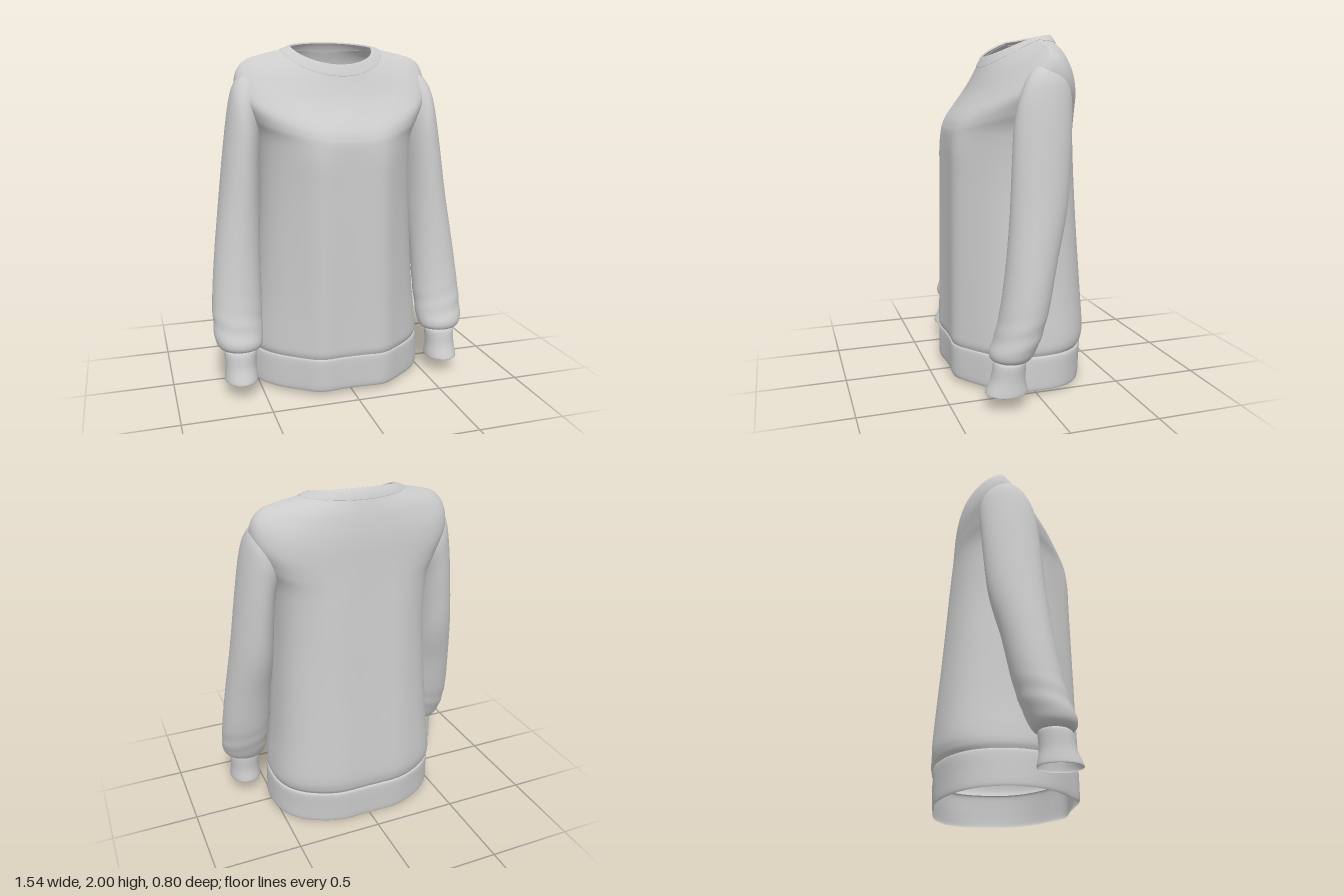
import * as THREE from 'three';

const material = new THREE.MeshStandardMaterial({ color: 0xcccccc, side: THREE.DoubleSide, roughness: 0.9 });

// Smooth interpolation through a list of cross-sections, u in 0..1
function sectionAt(sections, u) {
  const last = sections.length - 1;
  const i = Math.min(Math.floor(u * last), last - 1);
  const t = u * last - i;
  const [a, b, c, d] = [i - 1, i, i + 1, i + 2].map(k => sections[Math.max(0, Math.min(last, k))]);
  return b.map((_, k) => 0.5 * (2 * b[k] + (c[k] - a[k]) * t
    + (2 * a[k] - 5 * b[k] + 4 * c[k] - d[k]) * t * t
    + (3 * b[k] - a[k] - 3 * c[k] + d[k]) * t * t * t));
}

// Open tube lofted from top to bottom; point(section, angle) gives [x, y, z]
function loft(name, sections, point, rows, cols, side = 1) {
  const positions = [], index = [];
  for (let i = 0; i <= rows; i++) {
    const s = sectionAt(sections, i / rows);
    for (let j = 0; j < cols; j++) {
      const [x, y, z] = point(s, (j / cols) * Math.PI * 2);
      positions.push(x * side, y, z);
      if (i === rows) continue;
      const p = i * cols + j, q = i * cols + (j + 1) % cols;
      if (side > 0) index.push(p, q, p + cols, q, q + cols, p + cols);
      else index.push(p, p + cols, q, q, p + cols, q + cols);
    }
  }
  const geometry = new THREE.BufferGeometry();
  geometry.setAttribute('position', new THREE.Float32BufferAttribute(positions, 3));
  geometry.setIndex(index);
  geometry.computeVertexNormals();
  const mesh = new THREE.Mesh(geometry, material);
  mesh.name = name;
  return mesh;
}

// Body section: half width, front z, back z, side z, front y, side y, back y,
// front roundness, back roundness
function bodyPoint([w, zf, zb, zc, yf, ys, yb, ef, eb], a) {
  const c = Math.cos(a), s = Math.sin(a);
  const e = s > 0 ? ef : eb;
  const x = w * Math.sign(c) * Math.abs(c) ** (2 / e);
  const dz = ((s > 0 ? zf : zb) - zc) * Math.abs(s) ** (2 / e);
  const y = ys + ((s > 0 ? yf : yb) - ys) * Math.abs(s) ** 1.2;
  // drape: two soft vertical ridges beside a shallow hollow
  const low = THREE.MathUtils.smoothstep(1.65 - y, 0, 0.35);
  const ridge = Math.exp(-(((Math.abs(x) - 0.2) / 0.1) ** 2));
  const drape = 1 + low * ((s > 0 ? 0.085 : 0.025) * ridge - 0.005);
  return [x, y, zc + dz * drape];
}

// Sleeve section: inner x, y, outer x, y, front z, back z
function sleevePoint([ix, iy, ox, oy, zf, zb], a) {
  const c = Math.cos(a), s = Math.sin(a);
  const y = (iy + oy) / 2 + (oy - iy) / 2 * c;
  // gathered wrinkles above the cuff
  const gather = Math.exp(-(((y - 0.42) / 0.1) ** 2));
  const k = 1 + 0.015 * gather * Math.sin(y * 55 + 2 * a);
  return [(ix + ox) / 2 + (ox - ix) / 2 * c * k, y, (zf + zb) / 2 + (zf - zb) / 2 * s * k];
}

const neckSeam = [0.30, 0.178, -0.258, -0.08, 1.81, 1.955, 1.945, 2, 2];

const neckband = [
  [0.24, 0.145, -0.225, -0.08, 1.865, 1.966, 1.992, 2, 2],
  [0.247, 0.152, -0.232, -0.08, 1.872, 1.975, 2.0, 2, 2],
  [0.275, 0.168, -0.25, -0.08, 1.842, 1.968, 1.975, 2, 2],
  [0.302, 0.182, -0.262, -0.08, 1.81, 1.958, 1.945, 2, 2],
  neckSeam,
];

// shoulders, armholes, then down to the hem seam
const body = [
  neckSeam,
  [0.42, 0.21, -0.28, -0.07, 1.735, 1.928, 1.875, 1.8, 2.1],
  [0.51, 0.25, -0.298, -0.06, 1.66, 1.898, 1.78, 1.65, 2.2],
  [0.565, 0.30, -0.306, -0.055, 1.59, 1.838, 1.70, 1.65, 2.3],
  [0.575, 0.345, -0.31, -0.05, 1.53, 1.74, 1.62, 1.8, 2.4],
  [0.52, 0.37, -0.315, -0.03, 1.48, 1.61, 1.53, 1.95, 2.6],
  [0.46, 0.383, -0.322, -0.01, 1.41, 1.46, 1.42, 2, 2.8],
  [0.447, 0.387, -0.34, 0, 1.16, 1.18, 1.15, 2, 2.8],
  [0.465, 0.39, -0.36, 0, 0.84, 0.85, 0.84, 2, 2.8],
  [0.49, 0.392, -0.383, 0, 0.53, 0.53, 0.53, 2, 2.8],
  [0.515, 0.394, -0.396, 0, 0.32, 0.32, 0.32, 2, 2.8],
  [0.52, 0.394, -0.390, 0, 0.25, 0.25, 0.24, 2, 2.7],
  [0.51, 0.385, -0.376, 0, 0.218, 0.215, 0.205, 2, 2.6],
];

const hemBand = [
  [0.51, 0.385, -0.376, 0, 0.218, 0.215, 0.205, 2, 2.6],
  [0.522, 0.393, -0.386, 0, 0.205, 0.20, 0.19, 2, 2.6],
  [0.528, 0.394, -0.384, 0, 0.12, 0.11, 0.10, 2, 2.5],
  [0.53, 0.393, -0.38, 0, 0.045, 0.04, 0.02, 2, 2.5],
  [0.526, 0.386, -0.375, 0, 0.022, 0.022, 0.0, 2, 2.5],
];

const sleeve = [
  [0.44, 1.50, 0.46, 1.85, 0.05, -0.17],
  [0.445, 1.46, 0.53, 1.825, 0.09, -0.18],
  [0.45, 1.42, 0.587, 1.765, 0.12, -0.185],
  [0.455, 1.35, 0.622, 1.65, 0.145, -0.178],
  [0.46, 1.22, 0.658, 1.42, 0.16, -0.165],
  [0.465, 1.0, 0.70, 1.10, 0.178, -0.135],
  [0.475, 0.78, 0.74, 0.80, 0.205, -0.07],
  [0.48, 0.55, 0.765, 0.56, 0.24, -0.02],
  [0.485, 0.40, 0.77, 0.41, 0.275, 0.025],
  [0.49, 0.32, 0.763, 0.325, 0.305, 0.06],
  [0.505, 0.28, 0.742, 0.285, 0.30, 0.085],
  [0.54, 0.268, 0.71, 0.268, 0.27, 0.11],
];

const cuff = [
  [0.54, 0.268, 0.71, 0.268, 0.27, 0.11],
  [0.533, 0.25, 0.717, 0.25, 0.285, 0.108],
  [0.538, 0.17, 0.715, 0.17, 0.30, 0.112],
  [0.53, 0.10, 0.722, 0.10, 0.33, 0.10],
  [0.534, 0.088, 0.718, 0.09, 0.325, 0.104],
];

export function createModel() {
  const group = new THREE.Group();
  group.name = 'sweatshirt';
  group.add(
    loft('neckband', neckband, bodyPoint, 16, 128),
    loft('body', body, bodyPoint, 96, 128),
    loft('hemBand', hemBand, bodyPoint, 16, 128),
  );
  // mirrored sleeves and cuffs
  for (const [label, side] of [['left', 1], ['right', -1]]) {
    group.add(
      loft(label + 'Sleeve', sleeve, sleevePoint, 88, 64, side),
      loft(label + 'Cuff', cuff, sleevePoint, 16, 64, side),
    );
  }
  return group;
}
